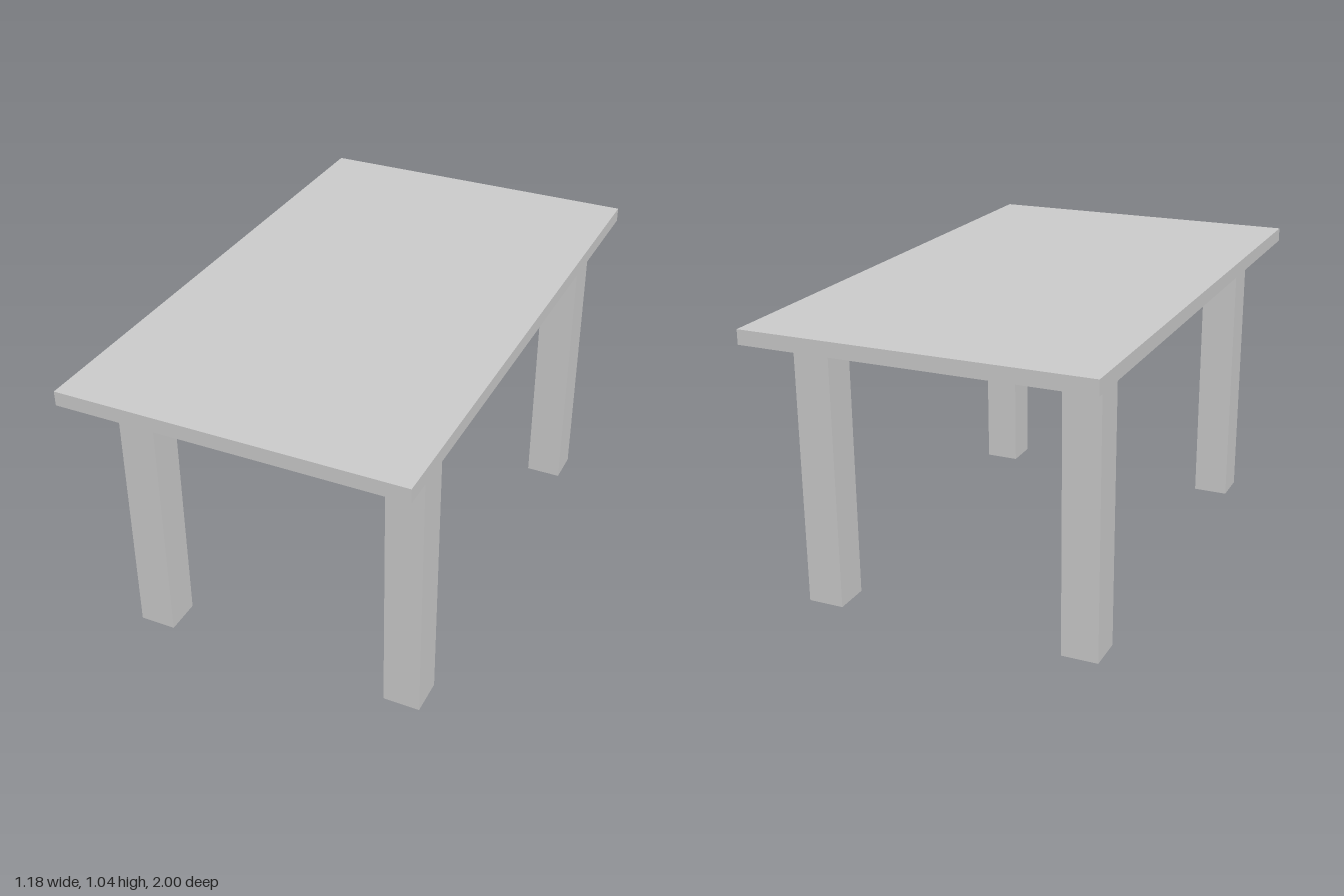
import * as THREE from 'three';

export function createModel() {
  const group = new THREE.Group();
  const material = new THREE.MeshStandardMaterial({ color: 0xcccccc, flatShading: true });

  const addBox = (name, size, position) => {
    const mesh = new THREE.Mesh(new THREE.BoxGeometry(...size), material);
    mesh.name = name;
    mesh.position.set(...position);
    group.add(mesh);
  };

  const legHeight = 0.99;
  const legWidth = 0.128;
  const topThickness = 0.05;

  // Table top
  addBox('tableTop', [1.185, topThickness, 2], [0, legHeight + topThickness / 2, 0]);

  // Four square legs, set slightly off centre under the top
  for (const [side, x] of [['Right', -0.448], ['Left', 0.49]]) {
    for (const [end, z] of [['front', 0.741], ['back', -0.698]]) {
      addBox(`${end}${side}Leg`, [legWidth, legHeight, legWidth], [x, legHeight / 2, z]);
    }
  }

  return group;
}
